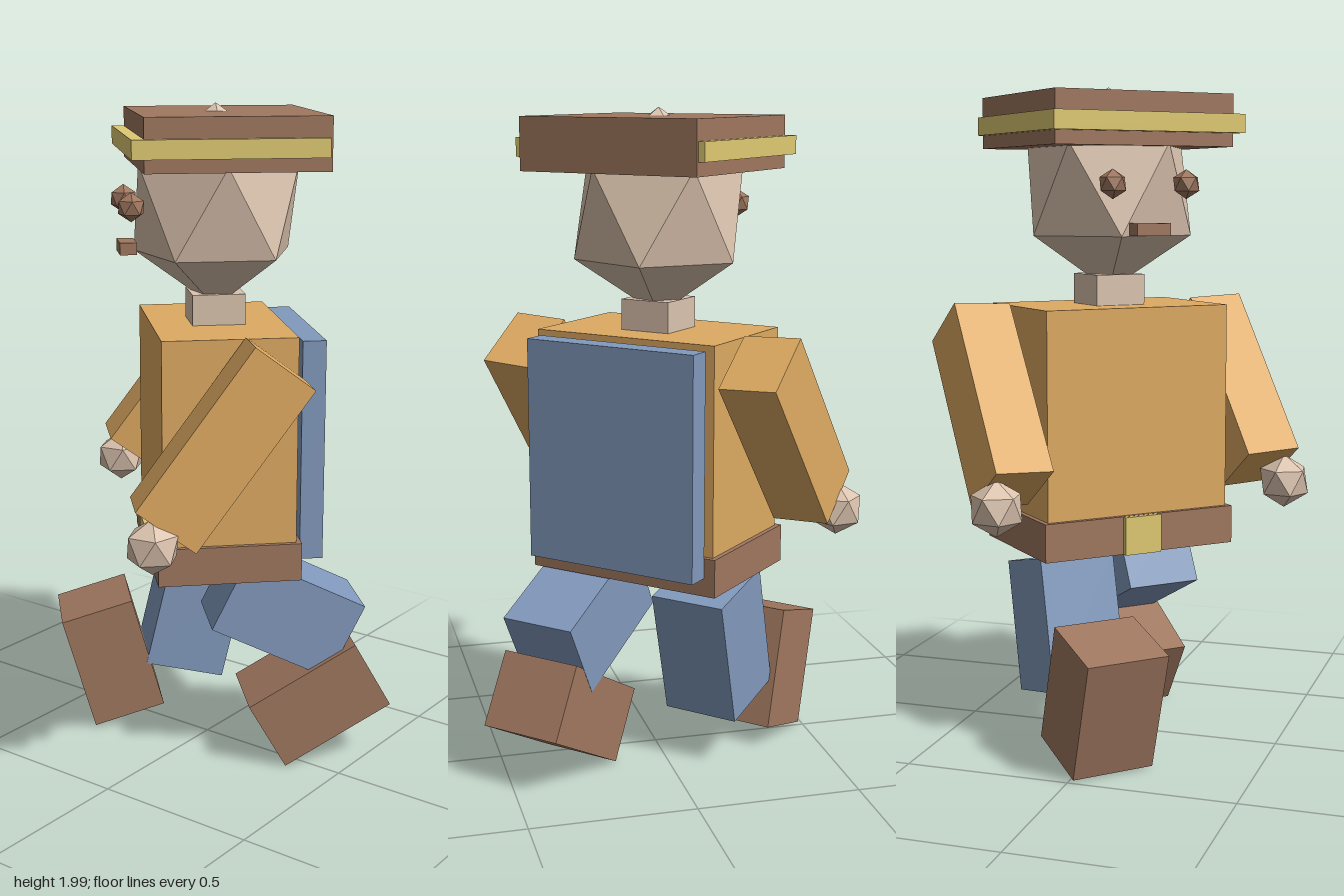
import * as THREE from 'three';

const mat = (name, color) => {
  const m = new THREE.MeshStandardMaterial({ color });
  m.name = name;
  return m;
};

export function createModel() {
  const brown = mat('brown', 0x9f775f);
  const ochre = mat('ochre', 0xdeaa62);
  const blue = mat('blue', 0x829abd);
  const yellow = mat('yellow', 0xdfca72);
  const skin = mat('skin', 0xdcc4af);

  const model = new THREE.Group();
  model.name = 'blockyFigure';
  const body = new THREE.Group(); // built facing +z, then turned
  body.name = 'body';
  model.add(body);

  const add = (name, geometry, material, x, y, z) => {
    const mesh = new THREE.Mesh(geometry, material);
    mesh.name = name;
    mesh.position.set(x, y, z);
    body.add(mesh);
    return mesh;
  };
  const box = (name, material, [w, h, d], [x, y, z]) =>
    add(name, new THREE.BoxGeometry(w, h, d), material, x, y, z);

  // Faceted ball with one corner pointing straight up
  const ball = (name, material, r, [x, y, z], stretch = 1) => {
    const g = new THREE.IcosahedronGeometry(r, 0);
    g.rotateX(-Math.atan2((1 + Math.sqrt(5)) / 2, 1));
    g.rotateY(Math.PI / 2);
    g.scale(1, stretch, 1);
    g.computeVertexNormals();
    return add(name, g, material, x, y, z);
  };

  // Box whose length runs along "down" and whose width runs along "side"
  const limb = (name, material, size, centre, down, side) => {
    const up = new THREE.Vector3(...down).normalize().negate();
    const front = new THREE.Vector3(...side).cross(up).normalize();
    const across = new THREE.Vector3().crossVectors(up, front);
    const mesh = box(name, material, size, centre);
    mesh.quaternion.setFromRotationMatrix(new THREE.Matrix4().makeBasis(across, up, front));
    return mesh;
  };

  // Torso, belt and pack
  box('torso', ochre, [0.6, 0.62, 0.4], [0, 1.04, 0]);
  box('belt', brown, [0.63, 0.115, 0.43], [0, 0.6725, 0]);
  box('buckle', yellow, [0.12, 0.115, 0.03], [0, 0.672, 0.215]);
  box('backpack', blue, [0.56, 0.665, 0.07], [0, 1.0025, -0.25]);

  // Head and hat
  box('neck', skin, [0.16, 0.1, 0.16], [0, 1.392, 0]);
  ball('head', skin, 0.28, [0, 1.695, 0], 1.085);
  box('hat', brown, [0.58, 0.155, 0.533], [0, 1.8975, -0.023]);
  box('hatBand', yellow, [0.62, 0.055, 0.56], [0, 1.8875, 0]);
  box('mouth', brown, [0.11, 0.036, 0.05], [0, 1.58, 0.267]);

  // Eyes, arms and hands, mirrored
  for (const [side, s] of [['left', 1], ['right', -1]]) {
    ball(side + 'Eye', brown, 0.043, [0.12 * s, 1.71, 0.264]);
    limb(side + 'Arm', ochre, [0.178, 0.568, 0.212], [0.411 * s, 1.07, 0.044],
      [0.023 * s, -0.803, 0.595], [0.988 * s, -0.095, 0.118]);
    ball(side + 'Hand', skin, 0.083, [0.483 * s, 0.8, 0.25]);
  }

  // Legs in mid stride: left swung back, right forward
  const across = [1, 0, 0];
  const thigh = [0.24, 0.4, 0.252];
  const boot = [0.258, 0.375, 0.232];
  limb('leftThigh', blue, thigh, [0.17, 0.485, -0.184], [0, -0.443, -0.896], across);
  limb('leftBoot', brown, boot, [0.18, 0.2, -0.281], [0, -0.493, 0.87], across);
  limb('rightThigh', blue, thigh, [-0.17, 0.384, 0.045], [0, -0.973, 0.229], across);
  limb('rightBoot', brown, boot, [-0.18, 0.223, 0.321], [0, -0.963, -0.27], across);

  body.rotation.y = -Math.PI * 0.75;
  body.position.x = 0.0375;
  return model;
}
